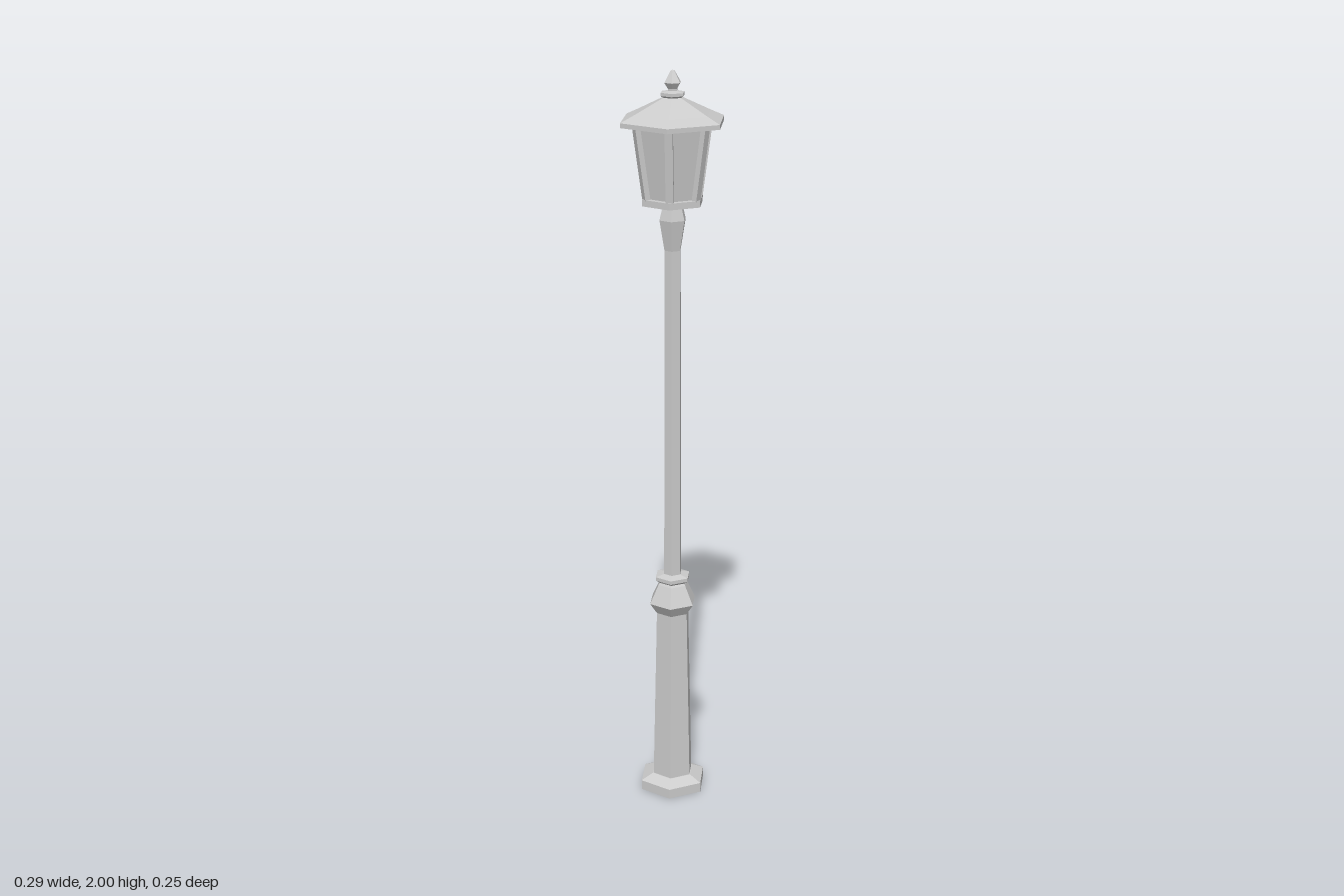
import * as THREE from 'three';

const material = new THREE.MeshStandardMaterial({ color: 0xcccccc, flatShading: true });

// Six-sided turned part from [radius, height] points, bottom to top, corners on the x axis
function hexPart(name, profile) {
  const points = profile.map(([r, y]) => new THREE.Vector2(r, y));
  const mesh = new THREE.Mesh(new THREE.LatheGeometry(points, 6, Math.PI / 6), material);
  mesh.name = name;
  return mesh;
}

// Straight bar between two points, turned so its width follows the lantern's edge
function cornerBar(angle, r0, y0, r1, y1) {
  const pivot = new THREE.Group();
  const length = Math.hypot(r1 - r0, y1 - y0);
  const bar = new THREE.Mesh(new THREE.BoxGeometry(0.014, length, 0.02), material);
  bar.name = 'lanternPost';
  bar.position.set((r0 + r1) / 2, (y0 + y1) / 2, 0);
  bar.rotation.z = -Math.atan2(r1 - r0, y1 - y0);
  pivot.name = 'lanternCorner';
  pivot.rotation.y = angle;
  pivot.add(bar);
  return pivot;
}

export function createModel() {
  const model = new THREE.Group();
  model.name = 'streetLamp';

  // Foot, tapered pedestal and collar
  model.add(hexPart('foot', [[0, 0], [0.095, 0], [0.095, 0.027], [0.06, 0.043], [0, 0.043]]));
  model.add(hexPart('pedestal', [[0.058, 0.04], [0.047, 0.53]]));
  model.add(hexPart('collar', [
    [0.047, 0.53], [0.067, 0.56], [0.042, 0.612], [0.038, 0.618],
    [0.05, 0.626], [0.05, 0.636], [0.024, 0.642],
  ]));

  // Slender pole flaring into a capital
  model.add(hexPart('pole', [[0.025, 0.63], [0.023, 1.54]]));
  model.add(hexPart('capital', [[0.023, 1.54], [0.037, 1.62], [0.028, 1.655], [0.028, 1.664]]));

  // Lantern
  const lantern = new THREE.Group();
  lantern.name = 'lantern';
  lantern.add(hexPart('lanternBase', [[0, 1.661], [0.085, 1.661], [0.085, 1.678], [0, 1.678]]));
  lantern.add(hexPart('glass', [[0.068, 1.676], [0.096, 1.87]]));
  for (let i = 0; i < 6; i++) {
    lantern.add(cornerBar(i * Math.PI / 3, 0.073, 1.676, 0.101, 1.868));
  }
  model.add(lantern);

  // Overhanging roof
  model.add(hexPart('roof', [
    [0, 1.864], [0.144, 1.864], [0.144, 1.876], [0.106, 1.893], [0.024, 1.932], [0, 1.932],
  ]));

  // Finial
  model.add(hexPart('finial', [
    [0.02, 1.928], [0.033, 1.936], [0.033, 1.944], [0.013, 1.948],
    [0.013, 1.953], [0.023, 1.968], [0.006, 1.997], [0, 2],
  ]));
  return model;
}
